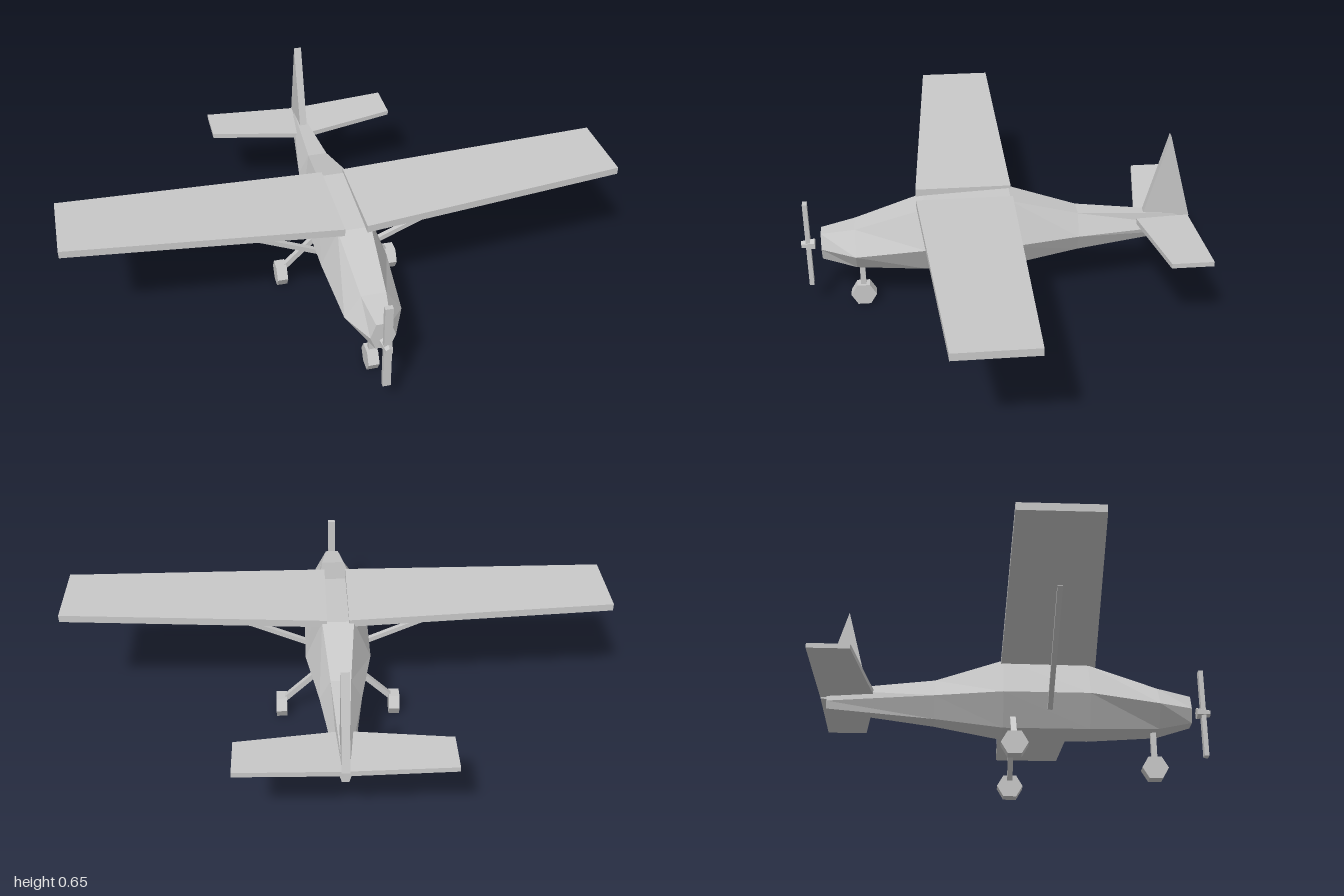
import * as THREE from 'three';

const grey = new THREE.MeshStandardMaterial({ color: 0xc8c8c8, flatShading: true });
grey.name = 'plain grey';

// Closed flat-faced solid through rings of points, each counter-clockwise about the direction of travel
function loft(rings) {
  const pos = [];
  const tri = (...pts) => pts.forEach((p) => pos.push(...p));
  const n = rings[0].length;
  for (let k = 0; k + 1 < rings.length; k++) {
    const a = rings[k], b = rings[k + 1];
    for (let i = 0; i < n; i++) {
      const j = (i + 1) % n;
      tri(a[i], a[j], b[j]);
      tri(a[i], b[j], b[i]);
    }
  }
  const first = rings[0], last = rings[rings.length - 1];
  for (let i = 1; i + 1 < n; i++) {
    tri(first[0], first[i + 1], first[i]);
    tri(last[0], last[i], last[i + 1]);
  }
  const g = new THREE.BufferGeometry();
  g.setAttribute('position', new THREE.Float32BufferAttribute(pos, 3));
  g.computeVertexNormals();
  return g;
}

// Flat surface from root to tip, each { x, lo, hi, back, front }, on side s
function panel(s, ...stations) {
  return loft(stations.map(({ x, lo, hi, back, front }) => {
    const ring = [[s * x, lo, back], [s * x, hi, back], [s * x, hi, front], [s * x, lo, front]];
    return s < 0 ? ring.reverse() : ring;
  }));
}

export function createModel() {
  const model = new THREE.Group();
  model.name = 'airplane';

  const add = (name, geometry) => {
    const mesh = new THREE.Mesh(geometry, grey);
    mesh.name = name;
    model.add(mesh);
    return mesh;
  };

  // Square bar between two points
  const bar = (name, from, to, size) => {
    const a = new THREE.Vector3(...from), b = new THREE.Vector3(...to);
    const mesh = add(name, new THREE.BoxGeometry(size, a.distanceTo(b), size));
    mesh.position.copy(a).add(b).multiplyScalar(0.5);
    mesh.quaternion.setFromUnitVectors(new THREE.Vector3(0, 1, 0), b.sub(a).normalize());
  };

  // Hexagonal wheel with a point at top and bottom
  const wheel = (name, x, z) => {
    const g = new THREE.CylinderGeometry(0.048, 0.048, 0.04, 6);
    g.rotateZ(Math.PI / 2);
    add(name, g).position.set(x, 0.048, z);
  };

  // Fuselage, tail to nose: z, top y, middle y, bottom y, middle half width, top and bottom half width
  const sections = [
    [-0.69, 0.335, 0.288, 0.26, 0.02, 0.012],
    [-0.295, 0.37, 0.292, 0.215, 0.075, 0.036],
    [-0.045, 0.447, 0.292, 0.176, 0.12, 0.058],
    [0.27, 0.432, 0.292, 0.176, 0.12, 0.06],
    [0.525, 0.35, 0.265, 0.188, 0.1, 0.044],
    [0.65, 0.328, 0.272, 0.222, 0.044, 0.025],
  ];
  add('fuselage', loft(sections.map(([z, top, mid, bottom, w, e]) => [
    [w, mid, z], [e, top, z], [-e, top, z], [-w, mid, z], [-e, bottom, z], [e, bottom, z],
  ])));

  for (const s of [1, -1]) {
    const side = s > 0 ? 'left' : 'right';
    add(side + 'Wing', panel(s,
      { x: 0.04, lo: 0.43, hi: 0.458, back: -0.053, front: 0.298 },
      { x: 1, lo: 0.47, hi: 0.497, back: -0.042, front: 0.233 }));
    add(side + 'Tailplane', panel(s,
      { x: 0.008, lo: 0.308, hi: 0.328, back: -0.715, front: -0.515 },
      { x: 0.367, lo: 0.325, hi: 0.343, back: -0.725, front: -0.575 }));
    bar(side + 'WingStrut', [s * 0.1, 0.238, 0.123], [s * 0.6, 0.458, 0.123], 0.018);
    bar(side + 'WheelLeg', [s * 0.06, 0.215, -0.01], [s * 0.21, 0.068, -0.01], 0.02);
    wheel(side + 'Wheel', s * 0.215, -0.01);
  }

  // Triangular fin
  add('tailFin', loft([-0.014, 0.014].map((x) => [
    [x, 0.325, -0.72], [x, 0.66, -0.628], [x, 0.325, -0.54],
  ])));

  // Nose gear
  bar('noseWheelLeg', [0, 0.07, 0.508], [0, 0.21, 0.508], 0.02);
  wheel('noseWheel', 0, 0.508);

  // Propeller
  const hub = new THREE.CylinderGeometry(0.014, 0.023, 0.05, 6);
  hub.rotateX(Math.PI / 2);
  add('propellerHub', hub).position.set(0, 0.272, 0.7);
  add('propellerBlade', new THREE.BoxGeometry(0.028, 0.345, 0.017)).position.set(0, 0.272, 0.7);

  return model;
}
